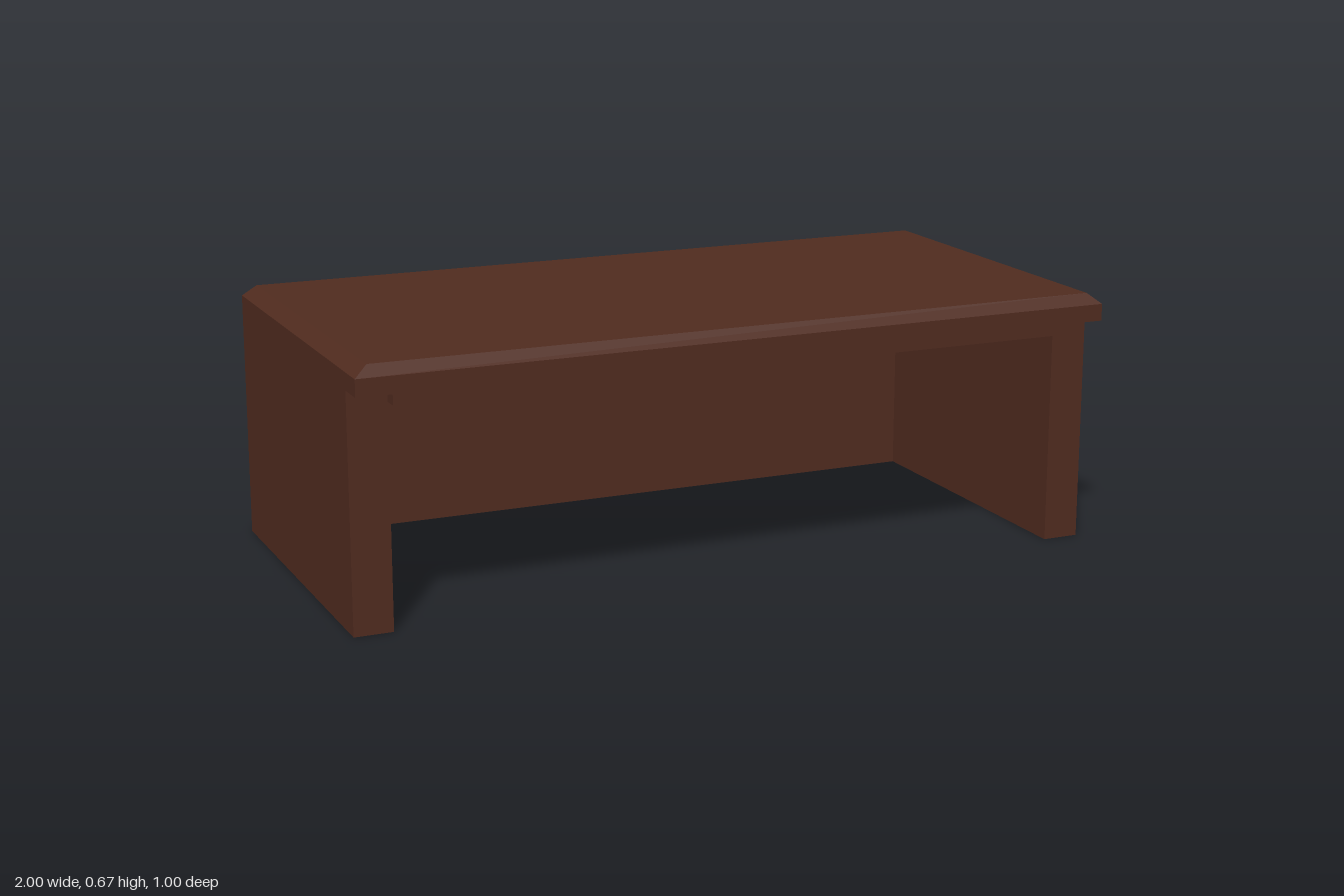
import * as THREE from 'three';

const wood = new THREE.MeshStandardMaterial({ color: 0x502b1f, flatShading: true });

// Box given by its lower and upper corners
function slab(name, [x0, y0, z0], [x1, y1, z1], rows = 1) {
  const geometry = new THREE.BoxGeometry(x1 - x0, y1 - y0, z1 - z0, 1, rows, 1);
  geometry.translate((x0 + x1) / 2, (y0 + y1) / 2, (z0 + z1) / 2);
  const mesh = new THREE.Mesh(geometry, wood);
  mesh.name = name;
  return mesh;
}

export function createModel() {
  const desk = new THREE.Group();
  desk.name = 'desk';

  // Table top: the middle row marks the bevel, the upper row is drawn in
  const top = slab('tableTop', [-1, 0.601, -0.5], [1, 0.673, 0.5], 2);
  const position = top.geometry.attributes.position;
  for (let i = 0; i < position.count; i++) {
    const y = position.getY(i);
    if (y > 0.66) {
      position.setX(i, Math.sign(position.getX(i)) * 0.965);
      position.setZ(i, Math.sign(position.getZ(i)) * 0.48);
    } else if (y > 0.62) {
      position.setY(i, 0.645);
    }
  }
  top.geometry.computeVertexNormals();
  desk.add(top);

  // Side panels
  desk.add(slab('rightSidePanel', [-1, 0, -0.5], [-0.9, 0.601, 0.423]));
  desk.add(slab('leftSidePanel', [0.903, 0, -0.5], [1, 0.601, 0.423]));

  // Back panel between the sides
  desk.add(slab('backPanel', [-0.9, 0, -0.5], [0.903, 0.601, -0.41]));

  // Deep pull-out tray under the top
  desk.add(slab('tray', [-0.895, 0.56, -0.27], [0.895, 0.596, 0.449]));

  return desk;
}
